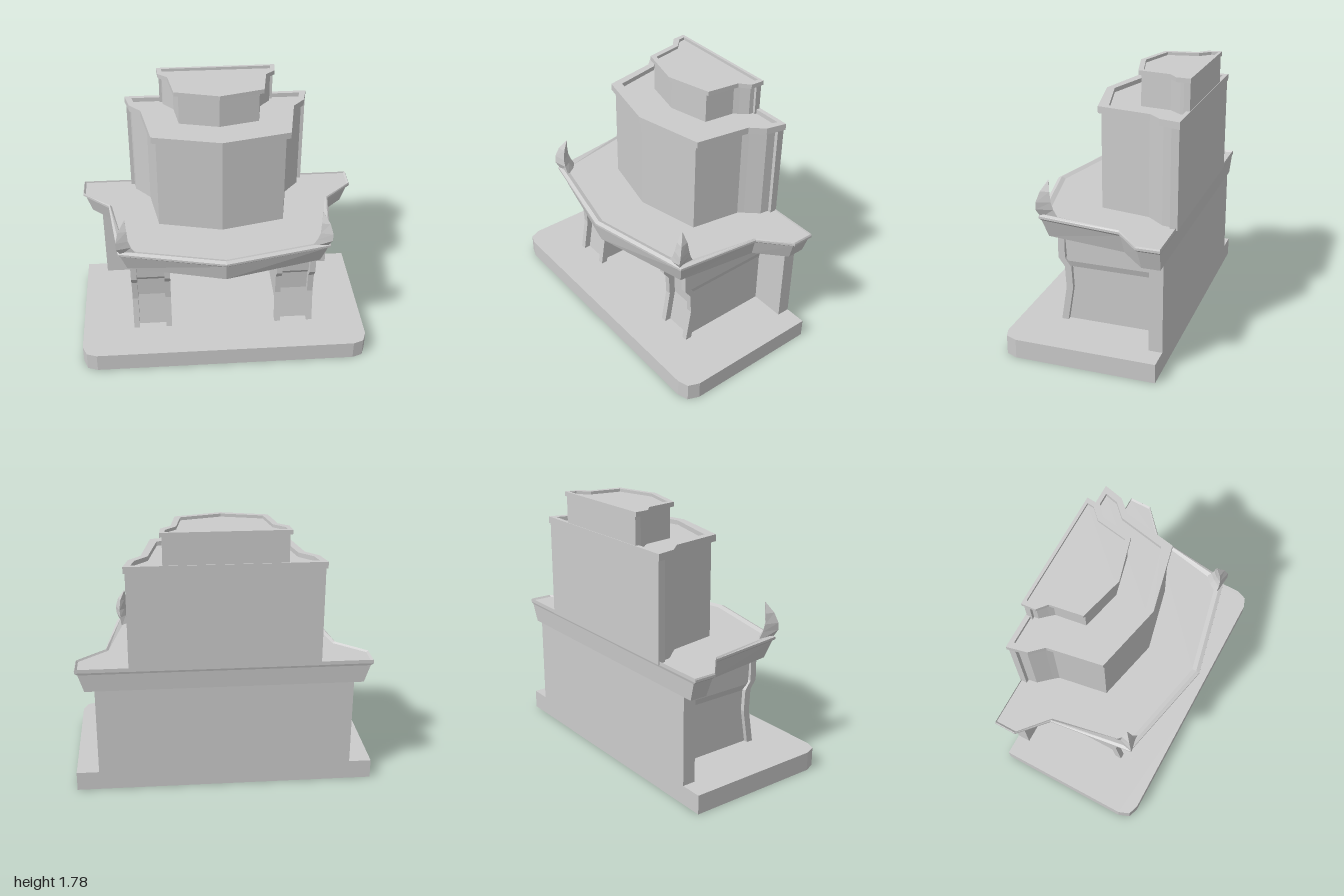
import * as THREE from 'three';

const material = new THREE.MeshStandardMaterial({
  color: 0xcccccc, flatShading: true, side: THREE.DoubleSide,
});

// Completes a half outline (front centre to back right) by mirroring it in x.
function mirror(half) {
  const left = half.filter(([x]) => x > 0).map(([x, z]) => [-x, z]).reverse();
  return [...half, ...left];
}

// Skins a stack of [y, outline] levels; outlines are [x, z] loops of equal length.
function loft(levels, openBottom = false) {
  const pos = [];
  const n = levels[0][1].length;
  const put = ([y, pts], i) => pos.push(pts[i % n][0], y, pts[i % n][1]);
  for (let l = 0; l < levels.length - 1; l++) {
    const a = levels[l], b = levels[l + 1];
    for (let i = 0; i < n; i++) {
      put(a, i); put(a, i + 1); put(b, i + 1);
      put(a, i); put(b, i + 1); put(b, i);
    }
  }
  const cap = (level, flip) => {
    const flat = level[1].map(([x, z]) => new THREE.Vector2(x, -z));
    for (const [i, j, k] of THREE.ShapeUtils.triangulateShape(flat, [])) {
      for (const v of flip ? [k, j, i] : [i, j, k]) put(level, v);
    }
  };
  if (!openBottom) cap(levels[0], true);
  cap(levels[levels.length - 1], false);
  const geo = new THREE.BufferGeometry();
  geo.setAttribute('position', new THREE.Float32BufferAttribute(pos, 3));
  geo.computeVertexNormals();
  return geo;
}

export function createModel() {
  const model = new THREE.Group();
  const add = (name, geo) => {
    const mesh = new THREE.Mesh(geo, material);
    mesh.name = name;
    model.add(mesh);
    return mesh;
  };

  // Hollow base slab with clipped front corners
  const slab = mirror([[0, 0.53], [0.9, 0.53], [0.97, 0.505], [1, 0.43], [1, -0.51]]);
  add('base', loft([[0, slab], [0.13, slab]], true));

  // Back wall
  add('backWall', new THREE.BoxGeometry(1.7, 0.6, 0.09).translate(0, 0.43, -0.465));

  // Supports: a stepped side wall with two curved pilasters on its front
  const face = [[0.255, 0.13], [0.217, 0.37], [0.226, 0.52], [0.27, 0.58], [0.27, 0.73]];
  const pilaster = new THREE.Shape(
    [...face, ...face.map(([z, y]) => [z - 0.046, y]).reverse()]
      .map(([z, y]) => new THREE.Vector2(z, y)));
  for (const side of [-1, 1]) {
    const rect = (w, front) => {
      const c = side * 0.505;
      return [[c - w, front], [c + w, front], [c + w, -0.43], [c - w, -0.43]];
    };
    add('supportWall', loft([
      [0.13, rect(0.105, 0.21)], [0.37, rect(0.105, 0.172)], [0.514, rect(0.105, 0.18)],
      [0.556, rect(0.118, 0.215)], [0.73, rect(0.118, 0.225)],
    ]));
    for (const x of [0.39, 0.62]) {
      const geo = new THREE.ExtrudeGeometry(pilaster, { depth: 0.04, bevelEnabled: false });
      geo.rotateY(-Math.PI / 2).translate(side * x + 0.02, 0, 0);
      add('pilaster', geo);
      // Fixing under the slab
      add('fixing', new THREE.CylinderGeometry(0.035, 0.035, 0.008, 10)
        .translate(side * (x - 0.03), 0.126, 0.3));
    }
  }

  // Flared cornice with a raised rim around its deck
  const bottom = mirror([[0, 0.49], [0.655, 0.325], [0.735, -0.22], [0.915, -0.39], [0.915, -0.51]]);
  const under = mirror([[0, 0.515], [0.695, 0.355], [0.77, -0.205], [0.952, -0.375], [0.952, -0.518]]);
  const edge = mirror([[0, 0.53], [0.71, 0.37], [0.785, -0.2], [0.972, -0.37], [0.972, -0.522]]);
  const crest = mirror([[0, 0.505], [0.69, 0.352], [0.776, -0.2], [0.967, -0.37], [0.967, -0.522]]);
  const deck = mirror([[0, 0.475], [0.66, 0.328], [0.762, -0.2], [0.955, -0.37], [0.955, -0.52]]);
  add('cornice', loft([
    [0.73, bottom], [0.852, under], [0.867, edge], [0.882, edge], [0.892, crest], [0.88, deck],
  ]));

  // Curved horns on the front corners
  const horn = [
    [0.87, [[0.58, 0.365], [0.69, 0.36], [0.68, 0.245], [0.63, 0.29]]],
    [0.93, [[0.62, 0.365], [0.717, 0.387], [0.687, 0.275], [0.65, 0.315]]],
    [0.98, [[0.637, 0.363], [0.72, 0.383], [0.692, 0.29], [0.658, 0.322]]],
    [1.05, [[0.643, 0.35], [0.7, 0.36], [0.685, 0.3], [0.655, 0.318]]],
    [1.12, [[0.652, 0.32], [0.656, 0.32], [0.656, 0.316], [0.652, 0.316]]],
  ];
  add('leftHorn', loft(horn));
  add('rightHorn', loft(horn.map(([y, p]) => [y, p.map(([x, z]) => [-x, z]).reverse()])));

  // Two stacked tiers, each a faceted body under a cap with a shallow parapet
  const tier = (name, y0, y1, y2, floor, body, outer, inner) => {
    const [b, o, i] = [body, outer, inner].map(mirror);
    add(name + 'Body', loft([[y0, b], [y1, b]]));
    add(name + 'Cap', loft([[y1, o], [y2, o], [y2, i], [floor, i]]));
  };
  tier('lowerTier', 0.87, 1.53, 1.575, 1.545,
    [[0, 0.137], [0.43, 0.037], [0.487, -0.3], [0.515, -0.335], [0.59, -0.42],
      [0.6, -0.48], [0.625, -0.48], [0.625, -0.53]],
    [[0, 0.155], [0.46, 0.05], [0.525, -0.315], [0.605, -0.4], [0.637, -0.535]],
    [[0, 0.1], [0.417, -0.01], [0.48, -0.33], [0.565, -0.415], [0.588, -0.505]]);
  tier('upperTier', 1.54, 1.755, 1.785, 1.765,
    [[0, -0.11], [0.27, -0.175], [0.3, -0.38], [0.325, -0.41], [0.37, -0.46],
      [0.375, -0.49], [0.393, -0.49], [0.393, -0.53]],
    [[0, -0.085], [0.3, -0.165], [0.335, -0.385], [0.4, -0.44], [0.408, -0.535]],
    [[0, -0.12], [0.265, -0.19], [0.3, -0.4], [0.37, -0.47], [0.375, -0.515]]);

  return model;
}
